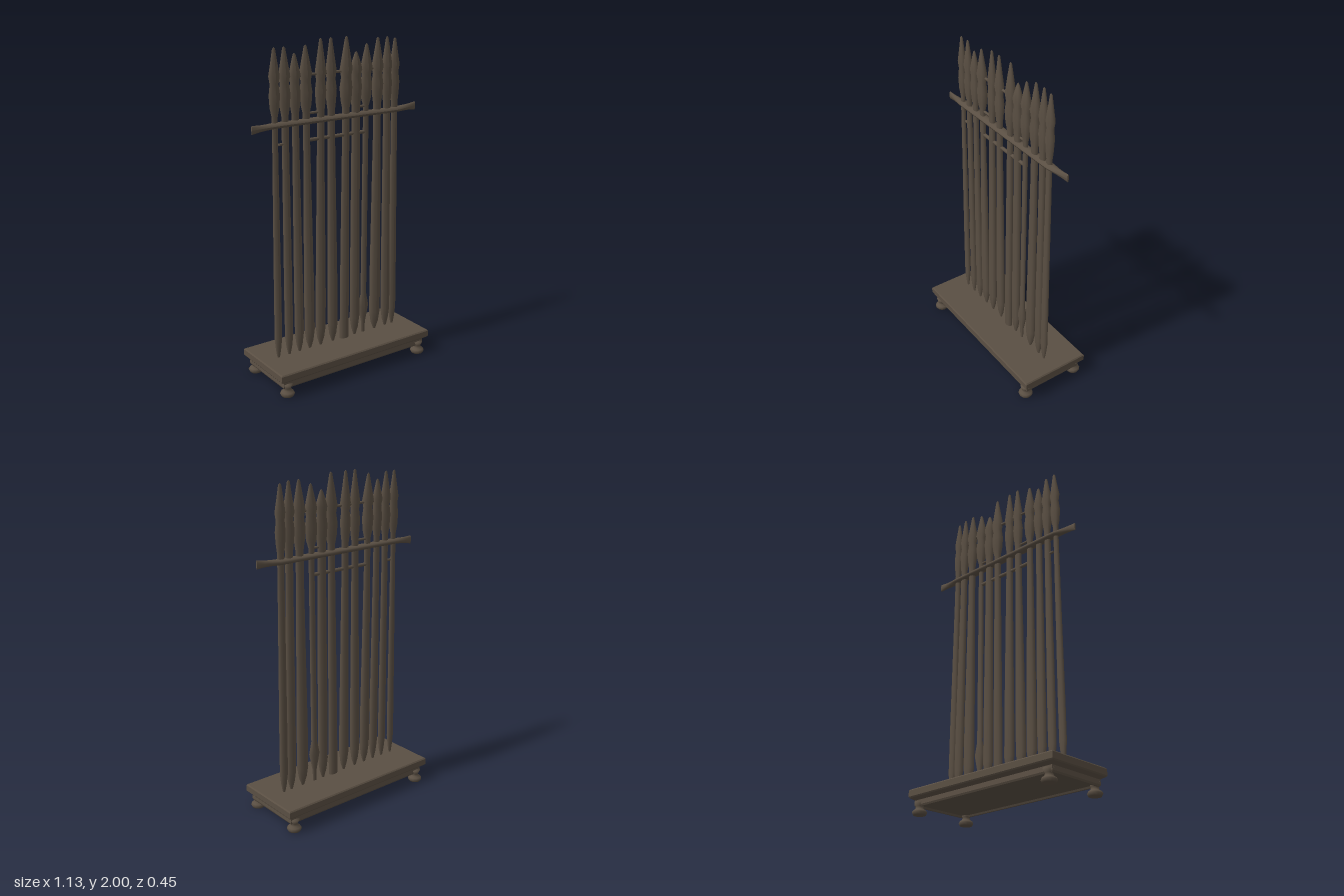
import * as THREE from 'three';

const V = (r, y) => new THREE.Vector2(r, y);

// Move every vertex of a geometry by a rule
function reshape(geo, rule) {
  const p = geo.attributes.position;
  const v = new THREE.Vector3();
  for (let i = 0; i < p.count; i++) {
    v.fromBufferAttribute(p, i);
    rule(v);
    p.setXYZ(i, v.x, v.y, v.z);
  }
  geo.computeVertexNormals();
  return geo;
}

export function createModel() {
  const model = new THREE.Group();
  const wood = new THREE.MeshStandardMaterial({ color: 0x5a4f43 });
  wood.name = 'darkWood';

  function add(geo, name, x = 0, y = 0, z = 0) {
    const mesh = new THREE.Mesh(geo, wood);
    mesh.name = name;
    mesh.position.set(x, y, z);
    model.add(mesh);
    return mesh;
  }

  // Plinth: a four-sided moulded profile of [inset, height], stretched to a rectangle
  const moulding = [
    [0.22, 0.06], [0.045, 0.06], [0.04, 0.05], [0.03, 0.05], [0.025, 0.06],
    [0.027, 0.088], [0.005, 0.103], [0, 0.11], [0, 0.145], [0.006, 0.152], [0.22, 0.152],
  ];
  const plinth = new THREE.LatheGeometry(
    moulding.map(([inset, y]) => V((0.22 - inset) * Math.SQRT2, y)), 4, Math.PI / 4,
  ).toNonIndexed();
  add(reshape(plinth, (v) => {
    if (Math.abs(v.x) > 1e-5) v.x += Math.sign(v.x) * 0.322;
  }), 'plinth');

  // Turned feet with flared bottoms
  const footProfile = [
    V(0, 0), V(0.036, 0), V(0.044, 0.015), V(0.038, 0.026), V(0.024, 0.036), V(0.022, 0.05), V(0.033, 0.075), V(0, 0.08),
  ];
  for (const x of [-0.485, 0.485]) {
    for (const z of [-0.182, 0.182]) add(new THREE.LatheGeometry(footProfile, 12), 'foot', x, 0, z);
  }

  // Spears: [bottom x, top x, tip height, lower half width, upper half width, head half width]
  const spears = [
    [-0.43, -0.42, 1.97, 0.024, 0.018, 0.034],
    [-0.355, -0.357, 1.97, 0.027, 0.022, 0.036],
    [-0.282, -0.292, 1.93, 0.030, 0.022, 0.036],
    [-0.208, -0.22, 1.97, 0.034, 0.022, 0.040],
    [-0.13, -0.118, 2.0, 0.034, 0.024, 0.036],
    [-0.04, -0.05, 2.0, 0.034, 0.024, 0.036],
    [0.045, 0.057, 2.0, 0.031, 0.024, 0.042],
    [0.125, 0.125, 1.91, 0.034, 0.028, 0.040],
    [0.19, 0.2, 1.95, 0.020, 0.019, 0.040],
    [0.28, 0.28, 1.98, 0.038, 0.026, 0.040],
    [0.365, 0.348, 1.98, 0.032, 0.025, 0.036],
    [0.42, 0.405, 1.97, 0.027, 0.022, 0.034],
  ];
  spears.forEach(([x0, x1, tip, low, high, head], i) => {
    // One has a diamond butt, one a straight butt, the rest taper to a point
    let butt = [V(0.008, 0.15), V(low * 0.7, 0.2), V(low, 0.27), V(low, 0.5)];
    if (i === 8) butt = [V(0.012, 0.15), V(0.014, 0.22), V(0.036, 0.33), V(0.02, 0.41)];
    if (i === 6) butt = [V(low, 0.15), V(low, 0.5)];
    const profile = [
      V(0, 0.14), ...butt,
      V((low + high) / 2, 0.95), V(high, 1.4), V(high, 1.59), V(head * 0.85, 1.64),
      V(head, 1.71), V(head * 0.78, 1.77), V(head, 1.815),
      V(head * 0.6, (1.815 + tip) / 2), V(0.009, tip - 0.008), V(0, tip),
    ];
    const geo = reshape(new THREE.LatheGeometry(profile, 10), (v) => {
      v.x += x0 + (x1 - x0) * (v.y - 0.15) / 1.85;
      v.z *= 0.62;
    });
    add(geo, 'spear');
  });

  // Crossbar: drawn out flat and flared at its ends, rising slightly to one side
  const bar = new THREE.CylinderGeometry(1, 1, 1.135, 12, 24).rotateZ(Math.PI / 2);
  add(reshape(bar, (v) => {
    const end = THREE.MathUtils.clamp((Math.abs(v.x) - 0.42) / 0.147, 0, 1);
    v.y = v.y * (0.017 + 0.008 * end ** 3) + 0.012 * end * Math.sign(v.x) * (v.x < 0 ? 0.8 : 0.6);
    v.z *= 0.028 - 0.023 * end;
  }), 'crossbar', 0, 1.545, 0);

  // Thin tie rods between the spears
  for (const [x0, x1, y, r] of [
    [-0.38, 0.43, 1.805, 0.008],
    [-0.4, -0.35, 1.435, 0.008],
    [-0.21, 0.19, 1.437, 0.011],
    [-0.21, -0.11, 1.59, 0.008],
    [0.1, 0.2, 1.59, 0.008],
  ]) {
    add(new THREE.CylinderGeometry(r, r, x1 - x0, 8).rotateZ(Math.PI / 2), 'tieRod', (x0 + x1) / 2, y, 0);
  }

  return model;
}
